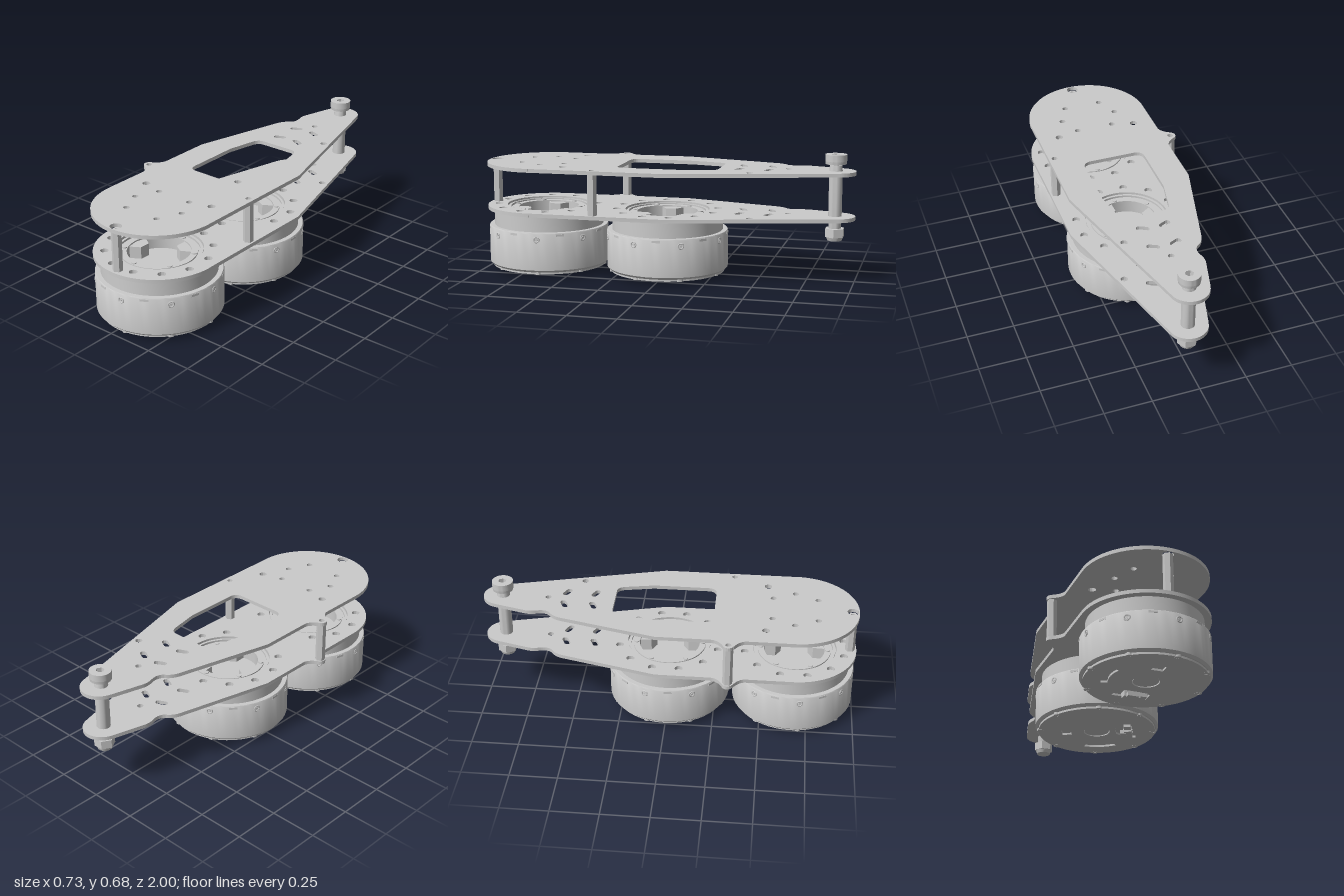
import * as THREE from 'three';
import { toCreasedNormals } from 'three/addons/utils/BufferGeometryUtils.js';

const grey = new THREE.MeshStandardMaterial({ color: 0xcccccc });
const CX = 0.033; // centre line of the arm

function mesh(name, geometry, parent, x = 0, y = 0, z = 0) {
  const m = new THREE.Mesh(toCreasedNormals(geometry, 0.6), grey);
  m.name = name;
  m.position.set(x, y, z);
  parent.add(m);
  return m;
}

// Shapes are drawn in (x, z); slab() lays them flat and extrudes downward from y = 0
function slab(shape, holes, depth) {
  shape.holes.push(...holes);
  const g = new THREE.ExtrudeGeometry(shape, { depth, bevelEnabled: false, curveSegments: 24 });
  return g.rotateX(Math.PI / 2);
}
const circle = (x, z, r) => new THREE.Shape().absarc(x, z, r, 0, Math.PI * 2, false);

function polygon(points) {
  return new THREE.Shape(points.map(([x, z]) => new THREE.Vector2(x, z)));
}
function hexagon(r, turn = 0) {
  return polygon([0, 1, 2, 3, 4, 5].map((i) => {
    const a = turn + (i * Math.PI) / 3;
    return [r * Math.cos(a), r * Math.sin(a)];
  }));
}
function slot(x, z, half, r, tilt) {
  const dx = Math.cos(tilt) * half, dz = Math.sin(tilt) * half;
  return new THREE.Shape()
    .absarc(x + dx, z + dz, r, tilt - Math.PI / 2, tilt + Math.PI / 2, false)
    .absarc(x - dx, z - dz, r, tilt + Math.PI / 2, tilt + Math.PI * 1.5, false);
}

function plateOutline() {
  const s = new THREE.Shape();
  s.moveTo(0.362, -0.05);
  s.lineTo(0.362, 0.67);
  s.absarc(CX, 0.67, 0.33, 0, Math.PI, false);
  s.lineTo(-0.297, 0.42);
  s.quadraticCurveTo(-0.3, 0.385, -0.352, 0.356);
  s.absarc(-0.337, 0.33, 0.029, Math.PI * 0.67, Math.PI * 1.33, false);
  s.quadraticCurveTo(-0.3, 0.28, -0.297, 0.24);
  s.lineTo(-0.297, -0.05);
  s.lineTo(-0.168, -0.55);
  s.quadraticCurveTo(-0.155, -0.6, -0.12, -0.62);
  s.quadraticCurveTo(-0.095, -0.645, -0.108, -0.69);
  s.quadraticCurveTo(-0.118, -0.72, -0.112, -0.75);
  s.lineTo(-0.066, -0.92);
  s.absarc(CX, -0.9, 0.1, Math.PI * 1.08, Math.PI * 1.92, false);
  return s;
}

// Slots and small holes near the narrow end, shared by both plates
function tailHoles() {
  const holes = [circle(0.03, -0.65, 0.016), circle(0.213, -0.477, 0.018)];
  for (const z of [-0.556, -0.402])
    for (const side of [-1, 1]) holes.push(slot(0.03 + side * 0.059, z, 0.018, 0.016, side * 0.45));
  return holes;
}

function windowHole() {
  const s = new THREE.Shape();
  s.moveTo(-0.06, -0.295);
  s.lineTo(0.125, -0.295);
  s.quadraticCurveTo(0.16, -0.295, 0.17, -0.255);
  s.lineTo(0.2, -0.1);
  s.lineTo(0.2, 0.19);
  s.quadraticCurveTo(0.2, 0.24, 0.15, 0.24);
  s.lineTo(-0.085, 0.24);
  s.quadraticCurveTo(-0.137, 0.24, -0.137, 0.19);
  s.lineTo(-0.137, -0.1);
  s.lineTo(-0.105, -0.255);
  s.quadraticCurveTo(-0.095, -0.295, -0.06, -0.295);
  return s;
}

function createMotor(name, z, turn) {
  const motor = new THREE.Group();
  motor.name = name;
  motor.position.set(CX, 0, z);
  motor.rotation.y = turn;

  // Stator can, rotor drum and the ringed hub recess in one turned profile
  const profile = [
    [0, 0.036], [0.313, 0.036], [0.325, 0.048], [0.325, 0.243], [0.321, 0.249], [0.297, 0.249],
    [0.295, 0.335], [0.22, 0.335], [0.22, 0.346], [0.207, 0.346], [0.207, 0.335], [0.195, 0.335],
    [0.195, 0.342], [0.162, 0.342], [0.162, 0.27], [0, 0.27],
  ].map(([r, y]) => new THREE.Vector2(r, y));
  mesh('motorBody', new THREE.LatheGeometry(profile, 64), motor);

  // Bottom cover with recesses
  const arcSlot = new THREE.Shape()
    .absarc(0, 0, 0.22, Math.PI - 0.4, Math.PI + 0.4, false)
    .absarc(0, 0, 0.185, Math.PI + 0.4, Math.PI - 0.4, true);
  const square = polygon([[-0.03, 0.135], [0.03, 0.135], [0.03, 0.185], [-0.03, 0.185]]);
  const pocket = polygon([[-0.1, -0.2], [0.08, -0.2], [0.08, -0.14], [0.03, -0.1], [-0.04, -0.1], [-0.1, -0.15]]);
  mesh('bottomCover', slab(circle(0, 0, 0.308), [circle(0, 0, 0.068), arcSlot, square, pocket], 0.012), motor, 0, 0.037, 0);
  mesh('coverBoss', new THREE.CylinderGeometry(0.064, 0.064, 0.008, 32), motor, 0, 0.032, 0);

  // Cable connectors
  mesh('connector', new THREE.BoxGeometry(0.085, 0.032, 0.04), motor, -0.012, 0.021, -0.165);
  mesh('connectorLip', new THREE.BoxGeometry(0.06, 0.02, 0.03), motor, -0.012, 0.011, -0.14);
  mesh('sideConnector', new THREE.BoxGeometry(0.04, 0.022, 0.035), motor, 0.05, 0.026, -0.165);
  for (const x of [-0.03, 0.006])
    mesh('connectorPin', new THREE.CylinderGeometry(0.007, 0.007, 0.05, 10).rotateX(Math.PI / 2), motor, x, 0.024, -0.165);

  for (let i = 0; i < 8; i++) {
    const spoke = new THREE.Group();
    spoke.name = 'rimDetails';
    spoke.rotation.y = 0.12 + (i * Math.PI) / 4;
    motor.add(spoke);
    // Socket screw in the side wall
    mesh('sideScrew', new THREE.TorusGeometry(0.014, 0.004, 8, 20), spoke, 0, 0.214, 0.324);
    mesh('screwSocket', new THREE.CylinderGeometry(0.007, 0.007, 0.006, 6).rotateX(Math.PI / 2), spoke, 0, 0.214, 0.324);
    // Cover screw on the bottom rim
    mesh('coverScrew', slab(circle(0, 0, 0.018), [hexagon(0.009)], 0.016), spoke, 0, 0.04, 0.297);
    // Locking tab at the upper rim
    const tab = new THREE.Group();
    tab.rotation.y = -0.4;
    tab.name = 'rimTab';
    spoke.add(tab);
    mesh('lockingTab', new THREE.BoxGeometry(0.044, 0.012, 0.01), tab, 0, 0.237, 0.321);
  }

  // Hub arms and ring screws
  for (let i = 0; i < 3; i++) {
    const arm = new THREE.Group();
    arm.name = 'hubArm';
    arm.rotation.y = 0.5 + (i * Math.PI * 2) / 3;
    motor.add(arm);
    const tab = polygon([[-0.06, 0.152], [-0.028, 0.1], [0.028, 0.1], [0.06, 0.152], [0, 0.163]]);
    mesh('hubTab', slab(tab, [], 0.065), arm, 0, 0.335, 0);
    for (const side of [-1, 1])
      mesh('ringScrew', new THREE.CylinderGeometry(0.013, 0.013, 0.008, 16), arm, side * 0.09, 0.343, 0.154);
  }
  return motor;
}

export function createModel() {
  const model = new THREE.Group();
  model.name = 'armLink';
  const standoffs = [[-0.337, 0.33], [0.33, 0.33], [CX, 0.965]];
  const motors = [[0.67, 0], [0, -2.02]]; // z, rotation

  // Top plate
  const topHoles = [windowHole(), ...tailHoles(), circle(CX, 0.965, 0.03)];
  for (const [x, z] of standoffs.slice(0, 2)) topHoles.push(circle(x, z, 0.015));
  for (const side of [-1, 1]) {
    topHoles.push(circle(0.03 + side * 0.217, 0.515, 0.02), circle(0.03 + side * 0.154, 0.663, 0.016));
    for (const z of [0.546, 0.784]) topHoles.push(circle(0.03 + side * 0.1, z, 0.016));
  }
  mesh('topPlate', slab(plateOutline(), topHoles, 0.02), model, 0, 0.591, 0);

  // Bottom plate with a bore and a bolt circle for each motor
  const lowHoles = tailHoles();
  for (const [z] of motors) {
    lowHoles.push(circle(CX, z, 0.225));
    for (let i = 0; i < 12; i++) {
      const a = ((i + 0.5) * Math.PI) / 6;
      lowHoles.push(circle(CX + 0.272 * Math.cos(a), z + 0.272 * Math.sin(a), 0.021));
    }
  }
  mesh('bottomPlate', slab(plateOutline(), lowHoles, 0.02), model, 0, 0.355, 0);

  motors.forEach(([z, turn], i) => model.add(createMotor(i ? 'rearMotor' : 'frontMotor', z, turn)));

  // Hexagonal standoffs between the plates
  for (const [x, z] of standoffs)
    mesh('standoff', slab(hexagon(0.026, Math.PI / 6), [circle(0, 0, 0.012)], 0.217), model, x, 0.572, z);

  // Pivot bolt through the narrow end
  const bolt = new THREE.Group();
  bolt.name = 'pivotBolt';
  bolt.position.set(CX, 0, -0.895);
  model.add(bolt);
  mesh('boltHead', slab(circle(0, 0, 0.056), [hexagon(0.022)], 0.035), bolt, 0, 0.677, 0);
  mesh('boltHeadBase', new THREE.CylinderGeometry(0.056, 0.054, 0.016, 40), bolt, 0, 0.635, 0);
  mesh('boltShank', new THREE.CylinderGeometry(0.024, 0.024, 0.4, 24), bolt, 0, 0.43, 0);
  mesh('upperSpacer', new THREE.CylinderGeometry(0.032, 0.035, 0.03, 24), bolt, 0, 0.605, 0);
  mesh('pivotSpacer', new THREE.CylinderGeometry(0.035, 0.035, 0.217, 24), bolt, 0, 0.463, 0);
  mesh('lowerSpacer', new THREE.CylinderGeometry(0.035, 0.032, 0.045, 24), bolt, 0, 0.313, 0);
  mesh('nut', slab(hexagon(0.053), [], 0.045), bolt, 0, 0.29, 0);
  mesh('nutCollar', new THREE.CylinderGeometry(0.045, 0.038, 0.02, 24), bolt, 0, 0.236, 0);

  return model;
}
